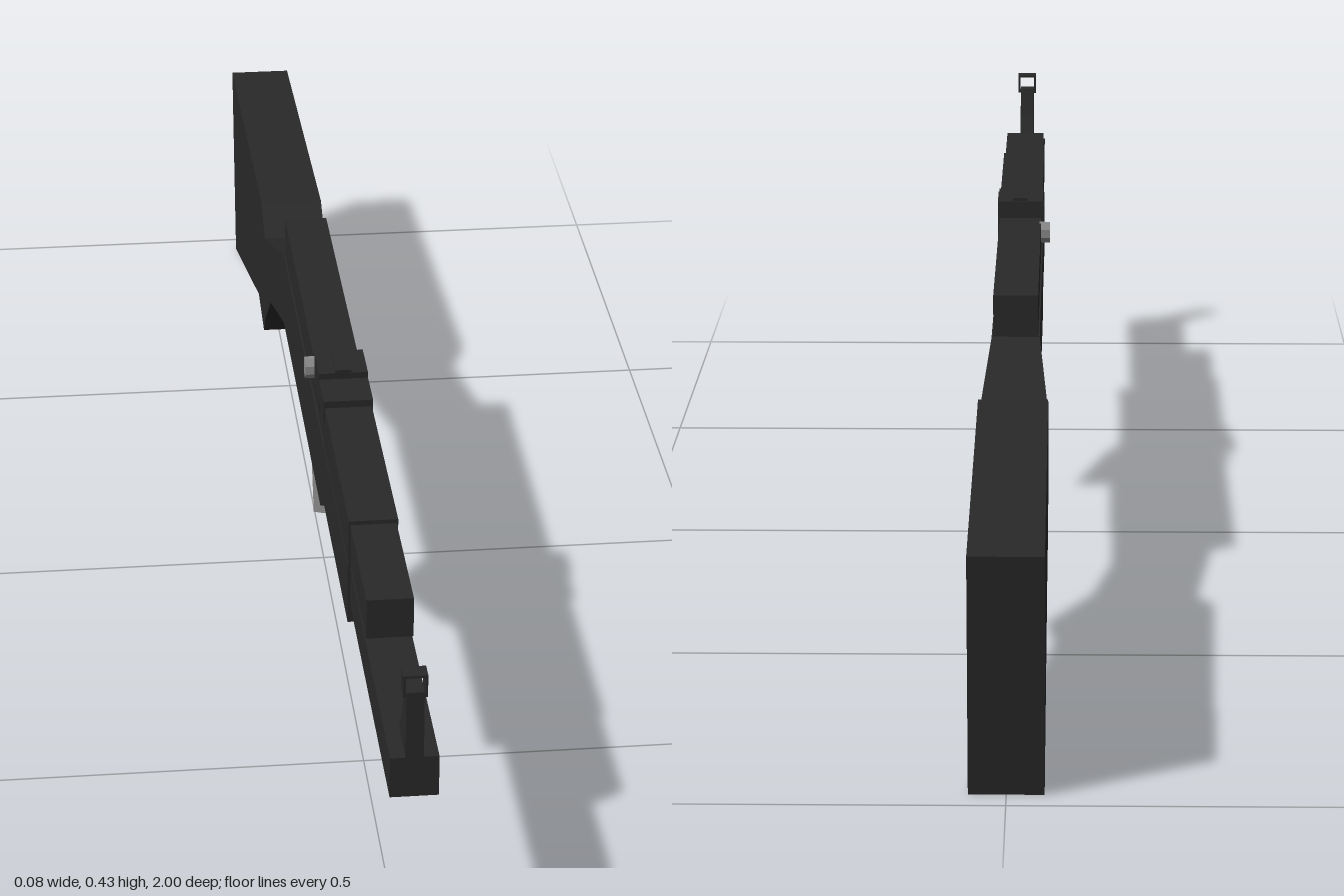
import * as THREE from 'three';

export function createModel() {
  const model = new THREE.Group();
  const dark = new THREE.MeshStandardMaterial({ color: 0x292929 });
  dark.name = 'charcoal';
  const grey = new THREE.MeshStandardMaterial({ color: 0x8a8a8a });
  grey.name = 'steel grey';

  const add = (name, geometry, material = dark) => {
    const mesh = new THREE.Mesh(geometry, material);
    mesh.name = name;
    model.add(mesh);
    return mesh;
  };

  // Side profile of [z, y] points, extruded evenly to both sides of x = 0
  const profile = (points, halfWidth) => {
    const shape = new THREE.Shape(points.map(([z, y]) => new THREE.Vector2(z, y)));
    return new THREE.ExtrudeGeometry(shape, { depth: halfWidth * 2, bevelEnabled: false })
      .translate(0, 0, -halfWidth)
      .rotateY(-Math.PI / 2);
  };

  // Box given by its z range, y range and half width
  const block = (name, z0, z1, y0, y1, halfWidth) =>
    add(name, new THREE.BoxGeometry(halfWidth * 2, y1 - y0, z1 - z0)
      .translate(0, (y0 + y1) / 2, (z0 + z1) / 2));

  // Main body and the parts stacked along it
  add('lowerBody', profile([
    [0.59, 0.255], [0.59, 0.333], [-0.25, 0.333], [-0.25, 0.228], [0.26, 0.228], [0.31, 0.255],
  ], 0.03));
  block('topCover', -0.25, 0.305, 0.333, 0.385, 0.028);
  block('upperHandguard', 0.3, 0.59, 0.333, 0.391, 0.029);
  block('upperTube', 0.59, 0.762, 0.336, 0.386, 0.027);
  block('barrel', 0.59, 1, 0.279, 0.329, 0.027);

  // Rear sight: low front step and higher back step
  block('rearSightFront', 0.249, 0.308, 0.37, 0.4, 0.0305);
  block('rearSightBack', 0.188, 0.249, 0.357, 0.408, 0.0305);
  block('rearSightLeaf', 0.19, 0.249, 0.408, 0.412, 0.01);

  // Front sight: sloped post with a square open ring on top
  add('frontSightPost', profile([[1, 0.329], [1, 0.411], [0.98, 0.411], [0.965, 0.37], [0.94, 0.329]], 0.01));
  const square = (Type, r) => new Type([[-r, -r], [r, -r], [r, r], [-r, r]]
    .map(([x, y]) => new THREE.Vector2(x, y)));
  const ring = square(THREE.Shape, 0.0135);
  ring.holes.push(square(THREE.Path, 0.0105));
  add('frontSightRing', new THREE.ExtrudeGeometry(ring, { depth: 0.02, bevelEnabled: false }))
    .position.set(0, 0.4185, 0.98);

  // Wrist, flaring in width towards the butt
  const wrist = profile([
    [-0.25, 0.332], [-0.415, 0.279], [-0.415, 0.154], [-0.367, 0.203], [-0.25, 0.229],
  ], 1);
  const p = wrist.attributes.position;
  for (let i = 0; i < p.count; i++) {
    const t = (-0.25 - p.getZ(i)) / 0.165;
    p.setX(i, p.getX(i) * THREE.MathUtils.lerp(0.03, 0.042, t));
  }
  wrist.computeVertexNormals();
  add('stockWrist', wrist);
  add('stockButt', profile([
    [-0.415, 0.279], [-0.465, 0.31], [-1, 0.283], [-0.967, 0],
    [-0.528, 0.137], [-0.442, 0.122], [-0.415, 0.154],
  ], 0.042));

  // Tilted magazine under the body
  add('magazine', profile([
    [0.281, 0.228], [0.27, 0.248], [0.1, 0.248], [0.142, 0.152],
  ], 0.027), grey);

  // Charging knob on the right side
  const knob = add('chargingKnob', new THREE.CylinderGeometry(0.0145, 0.0145, 0.014, 8)
    .rotateY(Math.PI / 8).rotateZ(Math.PI / 2).scale(1, 1, 0.75).toNonIndexed(), grey);
  knob.geometry.computeVertexNormals();
  knob.position.set(-0.033, 0.372, 0.16);

  return model;
}
